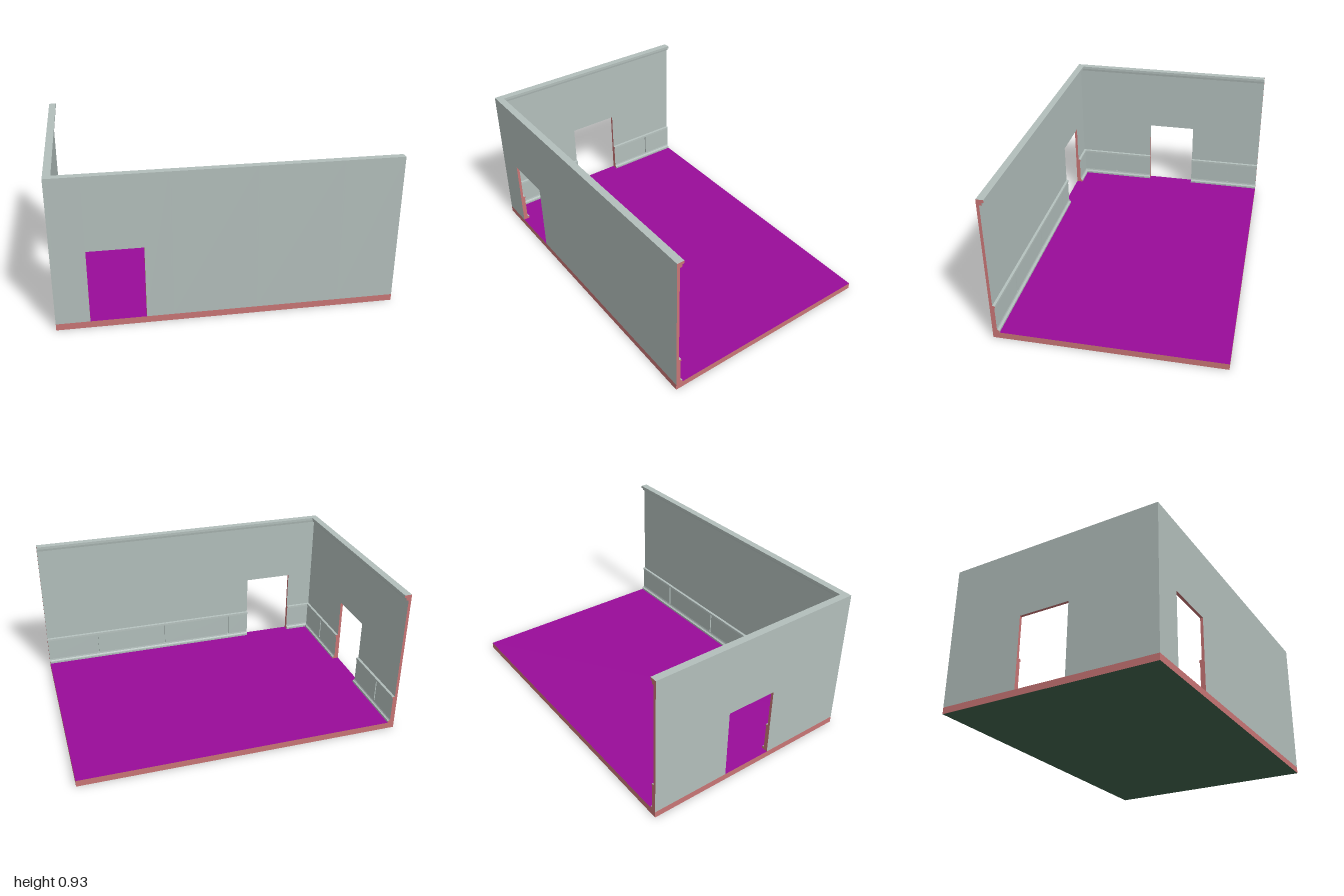
import * as THREE from 'three';

const HALF_X = 1, HALF_Z = 0.685, FLOOR = 0.04, TOP = 0.93, DOOR = 0.487;
const THICK = 0.017, PANEL = 0.028;

const mat = (color) => new THREE.MeshStandardMaterial({ color, flatShading: true });

// Wall cross-section: x runs inward from the outer face, y is height.
const cornice = [[0.03, 0.895], [0.033, 0.912], [0.044, 0.914], [0.044, TOP], [0, TOP]];
const lower = (depth) => [
  [0, FLOOR], [0.042, FLOOR], [0.042, 0.053], [0.034, 0.055], [0.03, 0.06], [PANEL, 0.07],
  [depth, 0.07], [depth, 0.217], [0.033, 0.217], [0.032, 0.23], [THICK, 0.232],
];
const profiles = {
  panel: [...lower(PANEL), [THICK, 0.895], ...cornice],
  groove: [...lower(THICK), [THICK, 0.895], ...cornice],
  lintel: [[0, DOOR], [THICK, DOOR], [THICK, 0.895], ...cornice],
};

export function createModel() {
  const wallMat = mat(0xb2bebb), cutMat = mat(0xc87575);
  const room = new THREE.Group();
  room.name = 'roomCorner';

  // Floor slab with coloured top, edges and underside
  const floor = new THREE.Mesh(
    new THREE.BoxGeometry(2 * HALF_X, FLOOR, 2 * HALF_Z),
    [cutMat, cutMat, mat(0x990c99), mat(0x40604b), cutMat, cutMat]
  );
  floor.position.y = FLOOR / 2;
  floor.name = 'floor';
  room.add(floor);

  // One stretch of wall along local z; each end is cut-coloured or wall-coloured
  function stretch(type, a, b, startCut, endCut) {
    const shape = new THREE.Shape(profiles[type].map(([x, y]) => new THREE.Vector2(x, y)));
    const geo = new THREE.ExtrudeGeometry(shape, { depth: b - a, bevelEnabled: false });
    const [caps, sides] = geo.groups;
    geo.clearGroups();
    geo.addGroup(0, caps.count / 2, startCut ? 1 : 0);
    geo.addGroup(caps.count / 2, caps.count / 2, endCut ? 1 : 0);
    geo.addGroup(sides.start, sides.count, 0);
    const mesh = new THREE.Mesh(geo, [wallMat, cutMat]);
    mesh.position.z = a;
    mesh.name = type === 'lintel' ? 'doorLintel' : type === 'groove' ? 'panelGroove' : 'wallPanel';
    return mesh;
  }

  // A wall with one doorway and grooves between its wainscot panels
  function wall(name, from, to, door, grooves, startCut, endCut) {
    const group = new THREE.Group();
    group.name = name;
    const gaps = [
      { type: 'lintel', a: door[0], b: door[1] },
      ...grooves.map((c) => ({ type: 'groove', a: c - 0.005, b: c + 0.005 })),
    ].sort((p, q) => p.a - q.a);
    let pos = from, cut = startCut;
    for (const { type, a, b } of gaps) {
      const isDoor = type === 'lintel';
      group.add(stretch('panel', pos, a, cut, isDoor));
      group.add(stretch(type, a, b, false, false));
      pos = b;
      cut = isDoor;
    }
    group.add(stretch('panel', pos, to, cut, endCut));
    // Underside of the door opening
    const soffit = new THREE.Mesh(new THREE.PlaneGeometry(THICK, door[1] - door[0]), cutMat);
    soffit.rotation.x = Math.PI / 2;
    soffit.position.set(THICK / 2, DOOR - 0.0005, (door[0] + door[1]) / 2);
    soffit.name = 'doorSoffit';
    group.add(soffit);
    room.add(group);
    return group;
  }

  const side = wall('sideWall', -HALF_Z, HALF_Z, [-0.187, 0.137], [-0.469, 0.405], true, false);
  side.position.x = -HALF_X;

  const front = wall('frontWall', -HALF_X, HALF_X, [-0.805, -0.482], [-0.33, 0.16, 0.65], false, true);
  front.rotation.y = Math.PI / 2;
  front.position.z = HALF_Z;

  return room;
}
